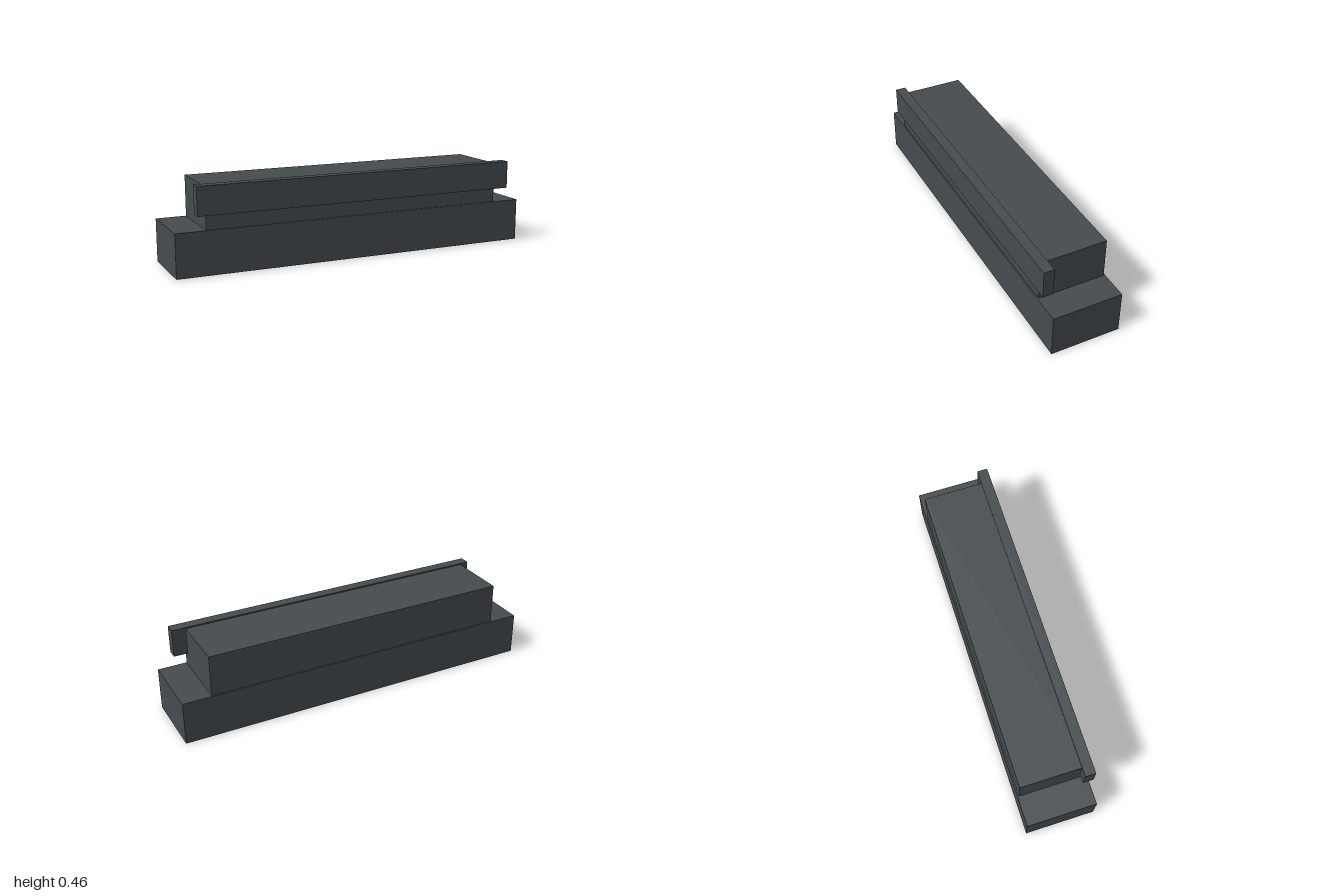
import * as THREE from 'three';

export function createModel() {
  const group = new THREE.Group();
  const slate = new THREE.MeshStandardMaterial({ color: 0x464c4f });
  slate.name = 'slate grey';

  // Box given by its lower and upper corners
  const block = (name, [x0, y0, z0], [x1, y1, z1]) => {
    const mesh = new THREE.Mesh(new THREE.BoxGeometry(x1 - x0, y1 - y0, z1 - z0), slate);
    mesh.position.set((x0 + x1) / 2, (y0 + y1) / 2, (z0 + z1) / 2);
    mesh.name = name;
    group.add(mesh);
  };

  // Long lower storey
  block('base', [-1, 0, -0.196], [1, 0.232, 0.182]);
  // Shorter storey set back on top
  block('upperBlock', [-0.84, 0.232, -0.188], [0.845, 0.453, 0.175]);
  // Overhanging board along the upper front edge
  block('frontBoard', [-0.888, 0.309, 0.139], [0.92, 0.46, 0.196]);

  return group;
}
